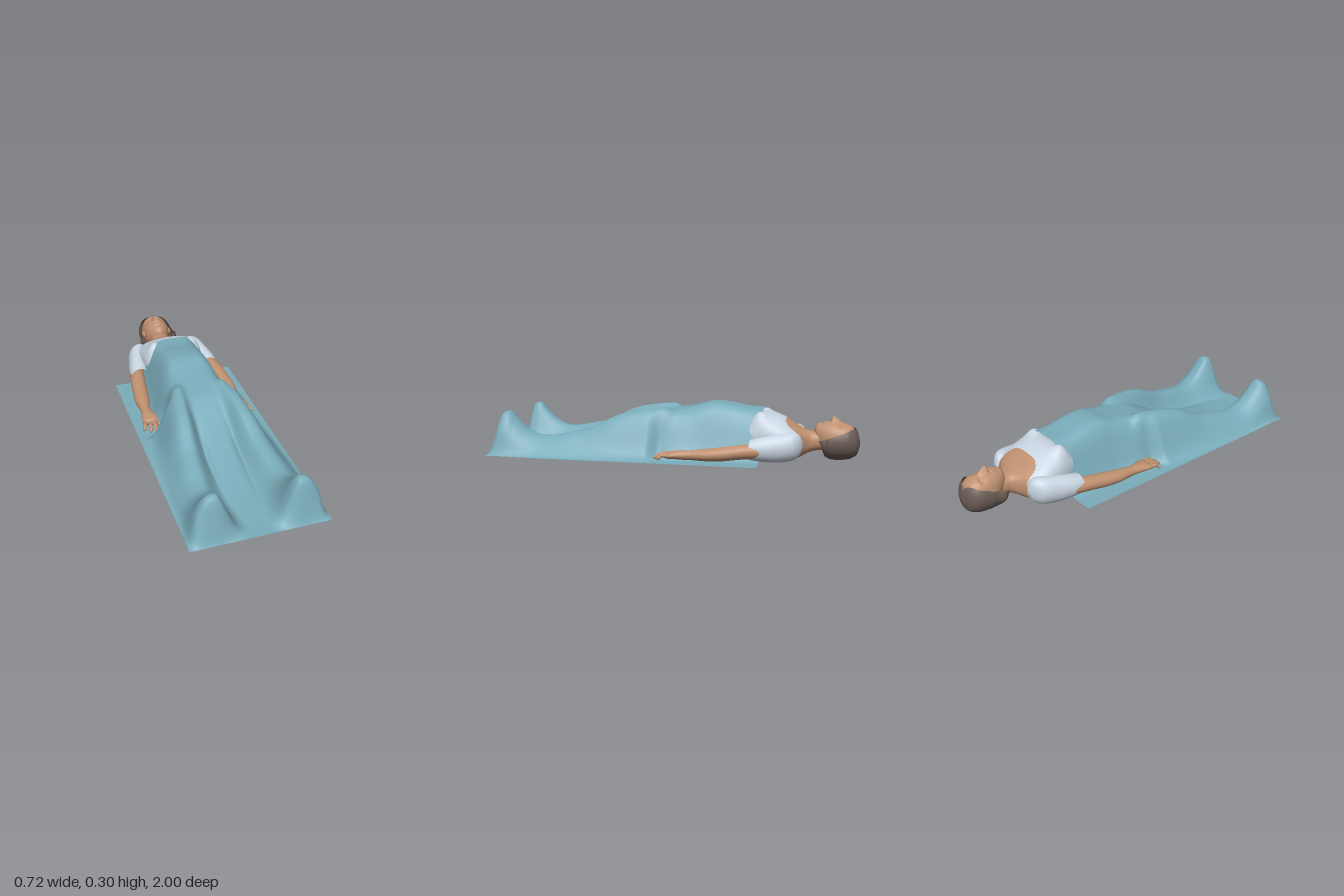
import * as THREE from 'three';

const material = (name, color, side = THREE.DoubleSide) => {
  const m = new THREE.MeshStandardMaterial({ color, side });
  m.name = name;
  return m;
};
const mats = {
  blanket: material('blanket teal', 0x7aacba),
  shirt: material('shirt pale blue', 0xc9d5e2),
  skin: material('skin', 0xbf9070),
  hair: material('hair brown', 0x6b5c55),
};

// Smooth curve through [t, value...] rows; returns the values of one column
function track(rows, col = 1) {
  const slope = i => {
    const a = rows[Math.max(0, i - 1)], b = rows[Math.min(rows.length - 1, i + 1)];
    return (b[col] - a[col]) / (b[0] - a[0]);
  };
  return t => {
    if (t <= rows[0][0]) return rows[0][col];
    if (t >= rows[rows.length - 1][0]) return rows[rows.length - 1][col];
    let i = 0;
    while (t > rows[i + 1][0]) i++;
    const d = rows[i + 1][0] - rows[i][0], s = (t - rows[i][0]) / d;
    const s2 = s * s, s3 = s2 * s;
    return (2 * s3 - 3 * s2 + 1) * rows[i][col] + (s3 - 2 * s2 + s) * d * slope(i)
      + (3 * s2 - 2 * s3) * rows[i + 1][col] + (s3 - s2) * d * slope(i + 1);
  };
}
const gauss = (d, w) => Math.exp(-(d / w) * (d / w));
const smooth = THREE.MathUtils.smoothstep;

// Grid surface from fn(u, v); pick(x, y, z) chooses the material of each cell
function surface(name, fn, nu, nv, materials, closed = false, pick = () => 0) {
  const pos = [], cols = closed ? nu : nu + 1, lists = materials.map(() => []);
  for (let j = 0; j <= nv; j++)
    for (let i = 0; i < cols; i++) pos.push(...fn(i / nu, j / nv));
  for (let j = 0; j < nv; j++)
    for (let i = 0; i < nu; i++) {
      const k = (i + 1) % cols;
      const a = j * cols + i, b = j * cols + k, c = b + cols, d = a + cols;
      const mid = [0, 1, 2].map(n => (pos[a * 3 + n] + pos[c * 3 + n]) / 2);
      lists[pick(...mid)].push(a, b, d, b, c, d);
    }
  const g = new THREE.BufferGeometry();
  g.setAttribute('position', new THREE.Float32BufferAttribute(pos, 3));
  g.setIndex(lists.flat());
  let start = 0;
  lists.forEach((l, i) => { g.addGroup(start, l.length, i); start += l.length; });
  g.computeVertexNormals();
  const mesh = new THREE.Mesh(g, materials.length > 1 ? materials : materials[0]);
  mesh.name = name;
  return mesh;
}

// Closed loft along z; rows are [z, centre x, half width, bottom y, top y]
function loft(name, rows, materials, { nu = 32, nv = 40, n = 2, side = 1, warp, pick } = {}) {
  const [cx, w, b, t] = [1, 2, 3, 4].map(c => track(rows, c));
  const z0 = rows[0][0], z1 = rows[rows.length - 1][0];
  const bend = c => Math.sign(c) * Math.abs(c) ** (2 / n);
  return surface(name, (u, v) => {
    const z = z0 + (z1 - z0) * v, a = u * Math.PI * 2;
    const x = side * cx(z) + w(z) * bend(Math.cos(a));
    let y = (t(z) + b(z)) / 2 + (t(z) - b(z)) / 2 * bend(Math.sin(a));
    if (warp && Math.sin(a) > 0) y += warp(x, z) * Math.min(1, Math.sin(a) * 2);
    return [x, y, z];
  }, nu, nv, materials, true, pick);
}

// Rounded rod between two points
function rod(name, a, b, r) {
  const p = new THREE.Vector3(...a), q = new THREE.Vector3(...b), d = q.clone().sub(p);
  const mesh = new THREE.Mesh(new THREE.CapsuleGeometry(r, d.length(), 5, 12), mats.skin);
  mesh.position.copy(p).add(q).multiplyScalar(0.5);
  mesh.quaternion.setFromUnitVectors(new THREE.Vector3(0, 1, 0), d.normalize());
  mesh.name = name;
  return mesh;
}

// Draped cloth: torso, two legs with upright feet, and the sag between them
function makeBlanket() {
  const bodyH = track([[-0.49, 0.265], [-0.4, 0.27], [-0.3, 0.288], [-0.2, 0.294], [-0.1, 0.268],
    [0, 0.25], [0.12, 0.225], [0.3, 0.14], [0.5, 0.07], [0.7, 0.025], [0.9, 0.004], [1, 0]]);
  const bodyW = track([[-0.49, 0.18], [-0.2, 0.185], [0, 0.205], [0.15, 0.17], [0.4, 0.11], [1, 0.09]]);
  const legH = track([[-0.12, 0], [-0.05, 0.12], [0.02, 0.235], [0.1, 0.253], [0.2, 0.246], [0.3, 0.22],
    [0.4, 0.172], [0.46, 0.147], [0.55, 0.127], [0.65, 0.107], [0.73, 0.107], [0.8, 0.14], [0.86, 0.197],
    [0.89, 0.23], [0.915, 0.236], [0.94, 0.215], [0.97, 0.1], [0.99, 0.02], [1, 0]]);
  const legX = track([[0, 0.125], [0.2, 0.14], [0.5, 0.175], [0.9, 0.212], [1, 0.212]]);
  const height = (x, z) => {
    const ax = Math.abs(x), d = ax - legX(z);
    const outer = 0.075 + 0.045 * smooth(z, 0.04, 0.12);
    const leg = legH(z) * (d > 0 ? Math.exp(-((d / outer) ** 3)) : gauss(d, 0.078));
    const body = bodyH(z) * Math.exp(-((ax / bodyW(z)) ** 5));
    const both = (leg ** 6 + body ** 6) ** (1 / 6);
    return 0.006 + both * smooth(0.36 - ax, -0.01, 0.05);
  };
  return surface('blanket', (u, v) => {
    const z = -0.49 + 1.49 * u, x = -0.36 + 0.72 * v;
    return [x, height(x, z), z];
  }, 180, 90, [mats.blanket]);
}

function makeHead() {
  const head = new THREE.Group();
  head.name = 'head';
  // Face relief: nose, eye sockets, brow, lips and chin
  const face = (x, z) => {
    const ax = Math.abs(x);
    const nose = 0.032 * gauss(x, 0.013) * smooth(z, -0.915, -0.86) * (1 - smooth(z, -0.858, -0.842));
    const nostrils = 0.01 * gauss(ax - 0.013, 0.009) * gauss(z + 0.855, 0.01);
    const sockets = -0.014 * gauss(ax - 0.034, 0.02) * gauss(z + 0.9, 0.014);
    const lids = 0.009 * gauss(ax - 0.034, 0.013) * gauss(z + 0.897, 0.008);
    const lips = gauss(x, 0.024) * (0.009 * gauss(z + 0.828, 0.006) + 0.009 * gauss(z + 0.814, 0.006));
    const chin = 0.006 * gauss(x, 0.02) * gauss(z + 0.782, 0.012);
    return nose + nostrils + sockets + lids + lips + chin;
  };
  head.add(loft('face', [[-0.99, 0, 0.02, 0.07, 0.12], [-0.97, 0, 0.056, 0.04, 0.168],
    [-0.93, 0, 0.077, 0.02, 0.195], [-0.88, 0, 0.08, 0.015, 0.203], [-0.83, 0, 0.073, 0.03, 0.203],
    [-0.79, 0, 0.055, 0.06, 0.195], [-0.768, 0, 0.036, 0.09, 0.184], [-0.756, 0, 0.006, 0.13, 0.165]],
  [mats.skin], { nu: 96, nv: 96, n: 2.2, warp: face }));
  for (const s of [-1, 1]) {
    const ear = new THREE.Mesh(new THREE.SphereGeometry(1, 16, 12), mats.skin);
    ear.scale.set(0.01, 0.018, 0.028);
    ear.position.set(s * 0.082, 0.115, -0.865);
    ear.name = 'ear';
    head.add(ear);
  }
  // Bobbed hair: an open shell that wraps the skull and flares at the jaw
  const rows = [[-1, 0.004, 0.085, 0.1, 3.14], [-0.99, 0.045, 0.045, 0.145, 3.14],
    [-0.975, 0.071, 0.024, 0.175, 2.75], [-0.94, 0.095, 0.007, 0.2, 2.25], [-0.88, 0.104, 0.001, 0.2, 2.0],
    [-0.845, 0.105, 0.004, 0.195, 1.9], [-0.815, 0.118, 0.018, 0.185, 1.8], [-0.785, 0.1, 0.035, 0.17, 1.75]];
  const [w, b, t, span] = [1, 2, 3, 4].map(c => track(rows, c));
  head.add(surface('hair', (u, v) => {
    const k = u * 2 - 1, z = -1 + (0.215 - 0.035 * (1 - k * k)) * v;
    const a = -Math.PI / 2 + k * Math.min(Math.PI, span(z));
    return [w(z) * Math.cos(a), (t(z) + b(z)) / 2 + (t(z) - b(z)) / 2 * Math.sin(a), z];
  }, 64, 48, [mats.hair]));
  return head;
}

function makeArm(s) {
  const arm = new THREE.Group();
  arm.name = s > 0 ? 'leftArm' : 'rightArm';
  arm.add(loft('sleeve', [[-0.708, 0.15, 0.006, 0.08, 0.11], [-0.695, 0.158, 0.034, 0.045, 0.145],
    [-0.66, 0.17, 0.06, 0.018, 0.165], [-0.58, 0.193, 0.06, 0.008, 0.155], [-0.5, 0.21, 0.058, 0.012, 0.14],
    [-0.44, 0.216, 0.055, 0.02, 0.125]], [mats.shirt], { side: s }));
  arm.add(loft('forearm', [[-0.5, 0.225, 0.042, 0.03, 0.11], [-0.4, 0.242, 0.044, 0.025, 0.102],
    [-0.3, 0.254, 0.044, 0.014, 0.088], [-0.22, 0.262, 0.041, 0.012, 0.078], [-0.13, 0.268, 0.029, 0.016, 0.067],
    [-0.09, 0.268, 0.034, 0.016, 0.066], [-0.04, 0.264, 0.047, 0.018, 0.06], [-0.01, 0.263, 0.045, 0.018, 0.052],
    [0.002, 0.263, 0.006, 0.03, 0.036]], [mats.skin], { side: s }));
  // Knuckle x, tip x, tip z of each finger
  for (const [x0, x1, z1] of [[0.229, 0.226, 0.045], [0.252, 0.254, 0.056], [0.275, 0.284, 0.054], [0.297, 0.317, 0.03]]) {
    const xm = (x0 + x1) / 2, zm = z1 * 0.5;
    arm.add(rod('finger', [s * x0, 0.038, -0.02], [s * xm, 0.04, zm], 0.0105));
    arm.add(rod('fingertip', [s * xm, 0.04, zm], [s * x1, 0.026, z1], 0.009));
  }
  arm.add(rod('thumb', [s * 0.238, 0.036, -0.07], [s * 0.21, 0.03, -0.025], 0.014));
  arm.add(rod('thumbTip', [s * 0.21, 0.03, -0.025], [s * 0.203, 0.026, 0.008], 0.01));
  return arm;
}

export function createModel() {
  const model = new THREE.Group();
  model.name = 'sleeperUnderBlanket';
  model.add(makeBlanket(), makeHead(), makeArm(1), makeArm(-1));

  // Neck and chest, with a scooped neckline and a bare back
  const bust = (x, z) => 0.036 * gauss(Math.abs(x) - 0.125, 0.045) * gauss(z + 0.475, 0.045);
  const bare = (x, y, z) => {
    const scoop = (Math.abs(x) / 0.128) ** 4 + ((z + 0.72) / 0.112) ** 4 < 1;
    return z < -0.712 || scoop || (y < 0.025 && Math.abs(x) < 0.13) ? 1 : 0;
  };
  model.add(loft('chest', [[-0.85, 0, 0.052, 0.05, 0.14], [-0.78, 0, 0.056, 0.05, 0.152],
    [-0.74, 0, 0.066, 0.04, 0.153], [-0.712, 0, 0.105, 0.028, 0.158], [-0.685, 0, 0.16, 0.014, 0.17],
    [-0.64, 0, 0.185, 0.004, 0.197], [-0.58, 0, 0.187, 0, 0.232], [-0.52, 0, 0.183, 0, 0.25],
    [-0.47, 0, 0.175, 0.004, 0.245], [-0.43, 0, 0.165, 0.02, 0.225]],
  [mats.shirt, mats.skin], { nu: 144, nv: 120, n: 2.4, warp: bust, pick: bare }));
  return model;
}
